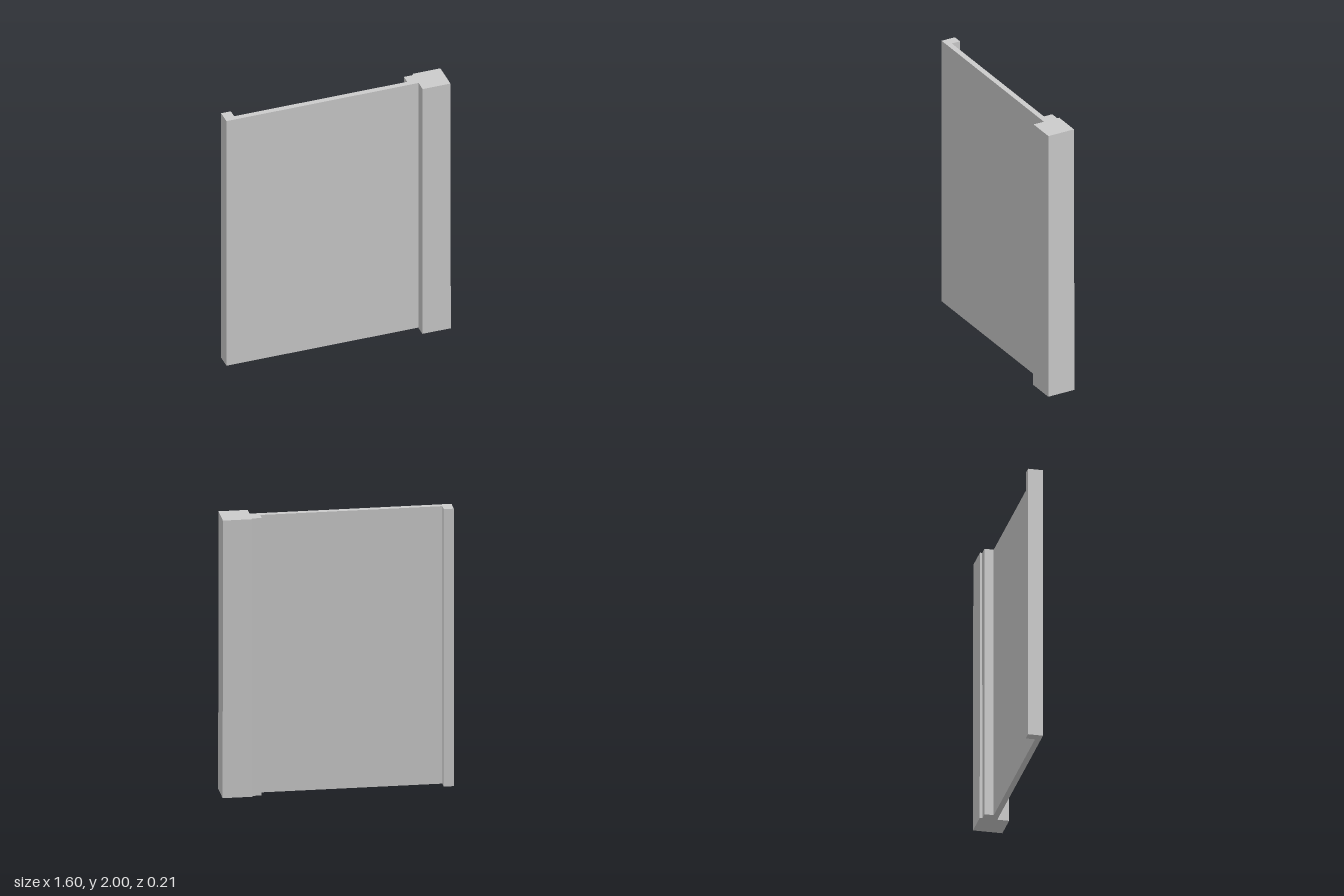
import * as THREE from 'three';

const HEIGHT = 2;

export function createModel() {
  const group = new THREE.Group();
  const material = new THREE.MeshStandardMaterial({ color: 0xcccccc, flatShading: true });
  const add = (name, geometry) => {
    const mesh = new THREE.Mesh(geometry, material);
    mesh.name = name;
    group.add(mesh);
    return mesh;
  };

  // Thin panel with a lip along each long edge, turned to the back.
  // Plan outline: x, and distance towards the back.
  const outline = [
    [-0.8, -0.02], [0.6, -0.02], [0.6, 0.085], [0.527, 0.085],
    [0.527, 0.02], [-0.73, 0.02], [-0.73, 0.085], [-0.8, 0.085],
  ].map(([x, back]) => new THREE.Vector2(x, back));
  const panel = new THREE.ExtrudeGeometry(new THREE.Shape(outline), { depth: HEIGHT, bevelEnabled: false });
  panel.rotateX(-Math.PI / 2);
  add('lippedPanel', panel);

  // Square post on the left edge, very slightly slimmer at the top.
  const post = new THREE.BoxGeometry(0.206, HEIGHT, 0.206);
  const p = post.attributes.position;
  for (let i = 0; i < p.count; i++) {
    if (p.getY(i) > 0) {
      p.setX(i, p.getX(i) * 0.98);
      p.setZ(i, p.getZ(i) * 0.98);
    }
  }
  post.computeVertexNormals();
  add('post', post).position.set(0.696, HEIGHT / 2, 0);

  return group;
}
